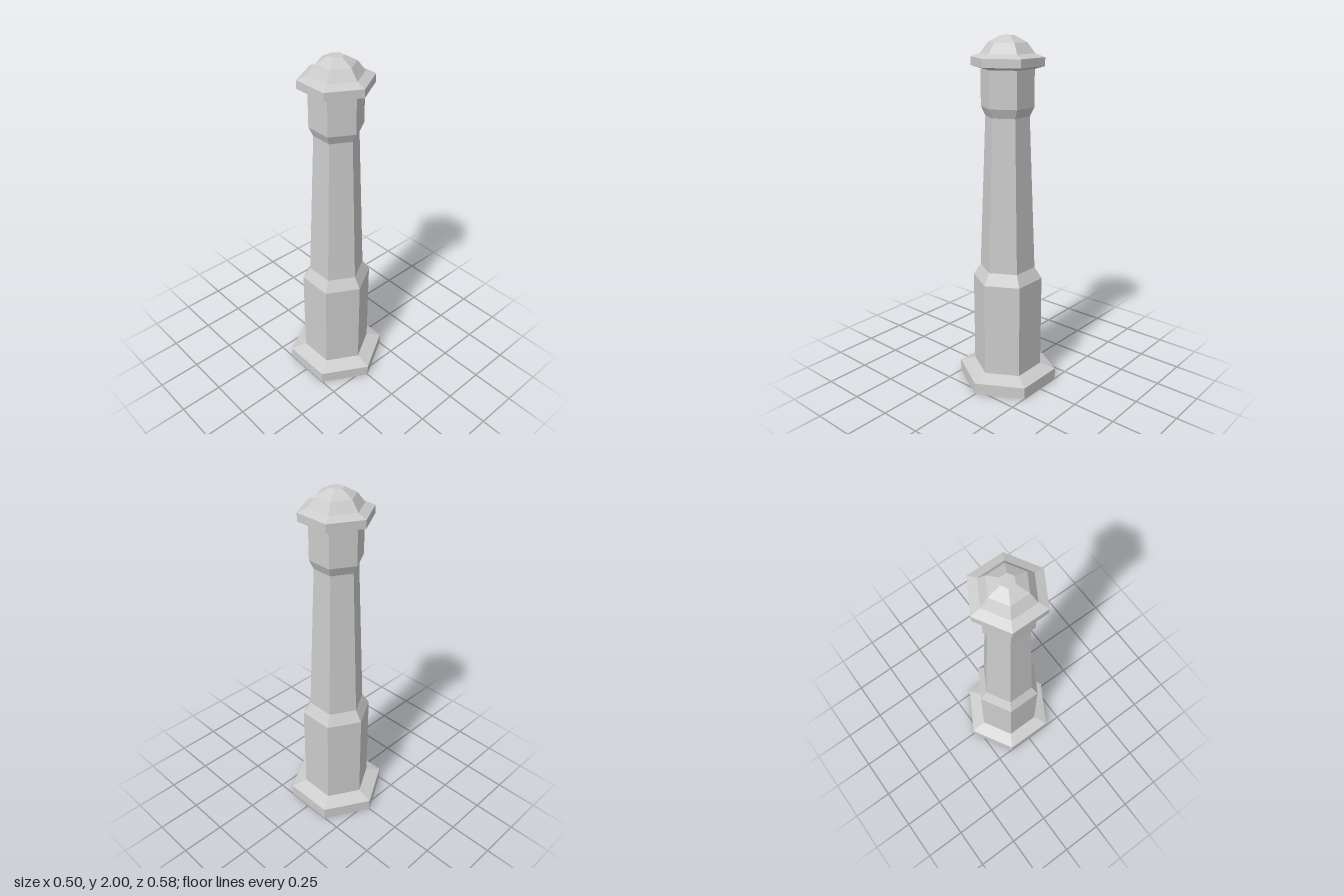
import * as THREE from 'three';

const SIDES = 6;

export function createModel() {
  const group = new THREE.Group();
  group.name = 'bollard';
  const material = new THREE.MeshStandardMaterial({ color: 0xcccccc, flatShading: true });

  // Six-sided turned part from [radius, height] pairs, bottom to top
  const addPart = (name, profile) => {
    const points = profile.map(([r, y]) => new THREE.Vector2(r, y));
    const mesh = new THREE.Mesh(new THREE.LatheGeometry(points, SIDES), material);
    mesh.name = name;
    group.add(mesh);
  };

  // Foot plate with sloped top
  addPart('foot', [[0, 0], [0.29, 0], [0.29, 0.07], [0.2, 0.1]]);

  // Wide lower post with chamfered shoulder
  addPart('lowerPost', [[0.2, 0.1], [0.2, 0.65], [0.158, 0.715]]);

  // Tapering shaft
  addPart('shaft', [[0.158, 0.715], [0.122, 1.58]]);

  // Flared collar below the cap
  addPart('collar', [[0.122, 1.58], [0.146, 1.63], [0.146, 1.83]]);

  // Overhanging rim and faceted dome
  addPart('capRim', [[0.146, 1.83], [0.2, 1.845], [0.2, 1.89], [0.147, 1.91]]);
  addPart('capDome', [[0.147, 1.91], [0.105, 1.965], [0.038, 2], [0, 2]]);

  return group;
}
